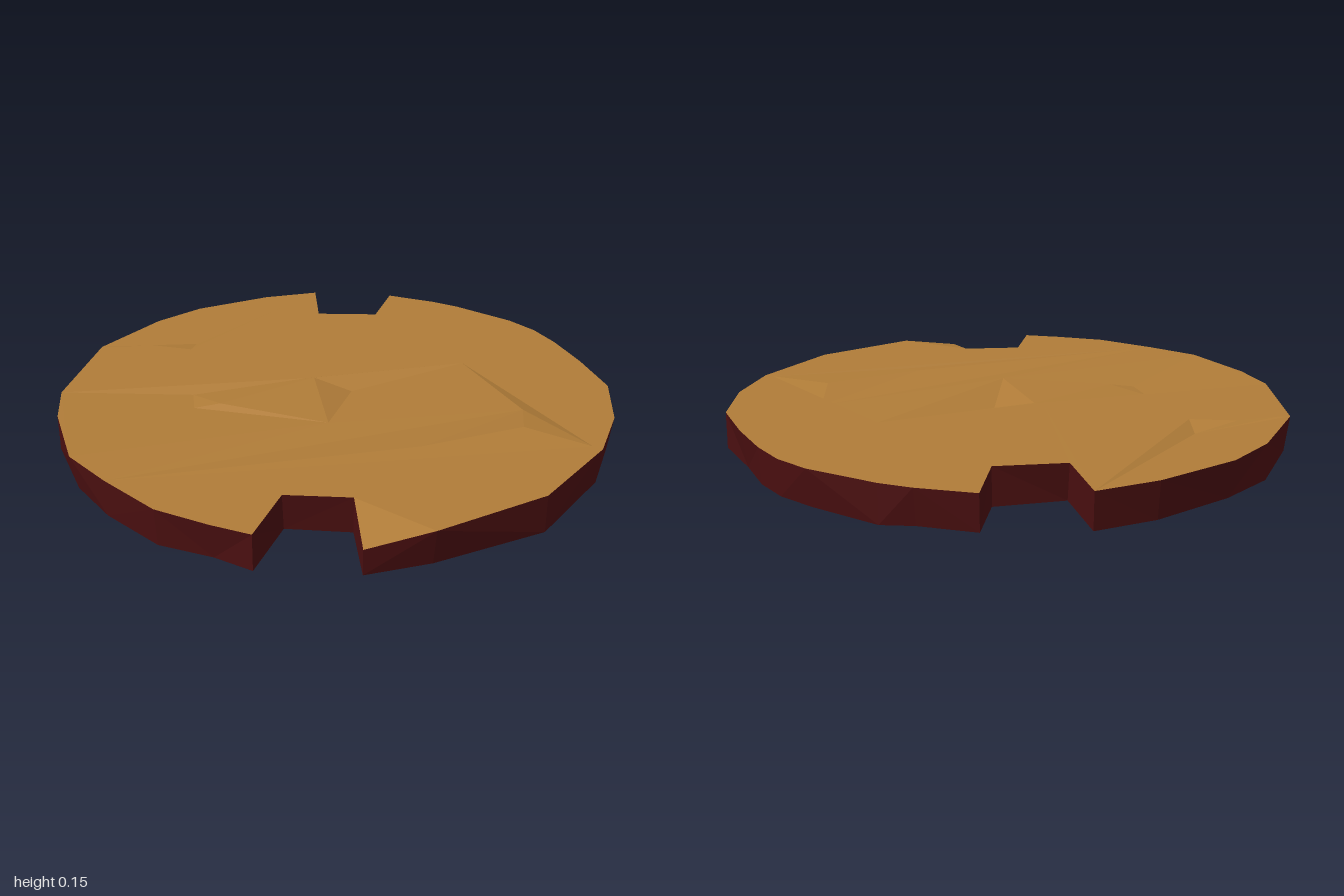
import * as THREE from 'three';

const TOP = 0.145, BASE = 0.016;

// Rim seen from above as [x, z], with two opposite notches.
const rim = [
  [0.09, -1], [0.31, -0.97], [0.23, -0.73], [0.45, -0.63], [0.6, -0.81], [0.74, -0.67], [0.81, -0.58],
  [0.94, -0.35], [0.98, -0.22], [0.99, -0.08], [0.98, 0.12], [0.95, 0.35], [0.82, 0.58], [0.65, 0.76],
  [0.32, 0.95], [-0.09, 1], [-0.31, 0.96], [-0.24, 0.73], [-0.44, 0.63], [-0.6, 0.81], [-0.7, 0.71],
  [-0.83, 0.56], [-0.93, 0.33], [-1, 0.13], [-0.98, -0.18], [-0.93, -0.37], [-0.7, -0.73],
  [-0.42, -0.91], [-0.22, -0.98],
];
const cutCorner = 16; // rim corner that is chipped lower

// Shallow hand-cut dents: loops of [x, z, height].
const dents = [
  [[-0.66, -0.71, 0.145], [-0.33, -0.66, 0.125], [-0.38, -0.57, 0.145], [-0.51, -0.67, 0.145]],
  [[-0.48, -0.2, 0.128], [-0.06, -0.14, 0.146], [-0.42, -0.06, 0.145], [-0.51, -0.09, 0.13]],
  [[-0.03, -0.13, 0.148], [0.55, -0.04, 0.145], [0.08, -0.03, 0.115], [-0.12, 0.23, 0.145]],
  [[0.1, 0.51, 0.145], [0.59, 0.35, 0.115], [0.63, 0.73, 0.145], [0.49, 0.52, 0.146], [0.13, 0.59, 0.138]],
];
const lumps = [
  [[-0.5, -0.3, 0.004], [-0.1, -0.4, 0.012], [-0.25, 0.1, 0.01]],
  [[0.2, 0.1, 0.003], [0.6, 0.0, 0.012], [0.5, 0.45, 0.0]],
  [[-0.2, 0.35, 0.012], [0.1, 0.6, 0.0], [-0.1, 0.7, 0.014]],
];

const vec = ([x, z, y]) => new THREE.Vector3(x, y, z);

// Makes a faceted mesh from a list of triangle corners.
function facets(name, points, color) {
  const geometry = new THREE.BufferGeometry().setFromPoints(points);
  geometry.computeVertexNormals();
  const mesh = new THREE.Mesh(geometry, new THREE.MeshStandardMaterial({ color, flatShading: true }));
  mesh.name = name;
  return mesh;
}

// Fills a rim around uneven patches, then fills the patches; up is 1 or -1.
function sheet(ring, patches, up) {
  const out = [];
  const fill = (loop, holes) => {
    const flat = (l) => l.map(([x, z]) => new THREE.Vector2(x, z));
    const all = [loop, ...holes].flat().map(vec);
    for (const tri of THREE.ShapeUtils.triangulateShape(flat(loop), holes.map(flat))) {
      const [a, b, c] = tri.map((i) => all[i]);
      const facing = b.clone().sub(a).cross(c.clone().sub(a)).y * up;
      out.push(...(facing > 0 ? [a, b, c] : [a, c, b]));
    }
  };
  fill(ring, patches);
  patches.forEach((patch) => fill(patch, []));
  return out;
}

export function createModel() {
  const group = new THREE.Group();
  group.name = 'notchedDisc';

  const upper = rim.map(([x, z], i) => [x, z, i === cutCorner ? 0.11 : TOP]);
  // The lower edge wanders slightly in and out.
  const lower = rim.map(([x, z], i) => {
    const s = 0.99 + 0.012 * Math.sin(i * 2.4);
    return [THREE.MathUtils.clamp(x * s, -1, 1), THREE.MathUtils.clamp(z * s, -1, 1), BASE + 0.004 * Math.sin(i * 1.7)];
  });

  // Side wall
  const wall = [];
  rim.forEach((_, i) => {
    const j = (i + 1) % rim.length;
    const [a, b, c, d] = [upper[i], upper[j], lower[j], lower[i]].map(vec);
    wall.push(...(i % 2 ? [a, b, c, a, c, d] : [a, b, d, b, c, d]));
  });

  group.add(
    facets('woodTop', sheet(upper, dents, 1), 0xb07c38),
    facets('sideWall', wall, 0x4a0f10),
    facets('underside', sheet(lower, lumps, -1), 0x4a0f10),
  );
  return group;
}
